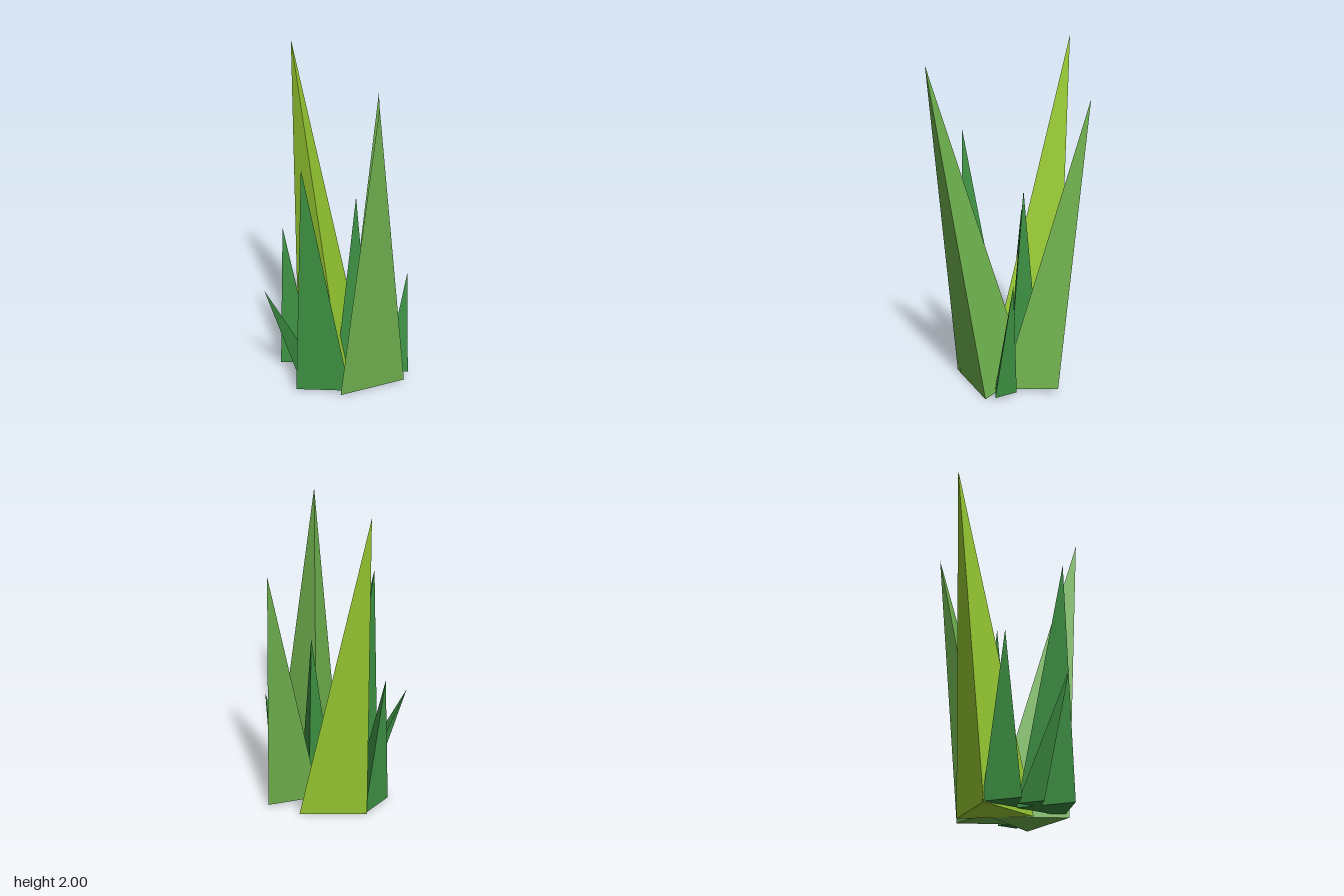
import * as THREE from 'three';

const LIME = 0x9acd32, LEAF = 0x70b34f, DARK = 0x3d8f42;

// name, colour, base centre [x, y, z], base radius, turn in degrees, tip [x, y, z]
const BLADES = [
  ['tallLimeBlade', LIME, [-0.12, 0, -0.057], 0.243, 180, [-0.475, 2, -0.055]],
  ['leftBlade', LEAF, [0.195, 0, -0.042], 0.245, 129.2, [0.47, 1.85, 0.16]],
  ['backBlade', LEAF, [0.078, 0.02, -0.255], 0.187, 193.3, [-0.163, 1.67, -0.47]],
  ['frontBlade', DARK, [0.077, 0.02, 0.196], 0.188, -15, [0.055, 1.45, 0.325]],
  ['middleBlade', DARK, [0.02, 0.02, -0.115], 0.125, -15, [0.005, 1.14, -0.13]],
  ['rightBlade', DARK, [-0.238, 0.005, 0.139], 0.125, -15, [-0.31, 0.93, 0.18]],
  ['smallBackBlade', DARK, [0.285, 0.02, -0.234], 0.081, 104.4, [0.275, 0.68, -0.31]],
  ['smallFrontBlade', DARK, [-0.072, 0.02, 0.186], 0.086, -15, [-0.13, 0.68, 0.468]],
];

// Three-sided spike whose tip is sheared sideways from its base
function makeBlade(name, color, base, radius, turn, tip) {
  const height = tip[1] - base[1];
  const geo = new THREE.ConeGeometry(radius, height, 3, 1, false, THREE.MathUtils.degToRad(turn));
  geo.translate(0, height / 2, 0);
  const pos = geo.attributes.position;
  for (let i = 0; i < pos.count; i++) {
    const t = pos.getY(i) / height;
    pos.setX(i, pos.getX(i) + (tip[0] - base[0]) * t);
    pos.setZ(i, pos.getZ(i) + (tip[2] - base[2]) * t);
  }
  geo.computeVertexNormals();
  const blade = new THREE.Mesh(geo, new THREE.MeshStandardMaterial({ color, flatShading: true }));
  blade.name = name;
  blade.position.set(...base);
  return blade;
}

export function createModel() {
  const tuft = new THREE.Group();
  tuft.name = 'grassTuft';
  for (const spec of BLADES) tuft.add(makeBlade(...spec));
  return tuft;
}
